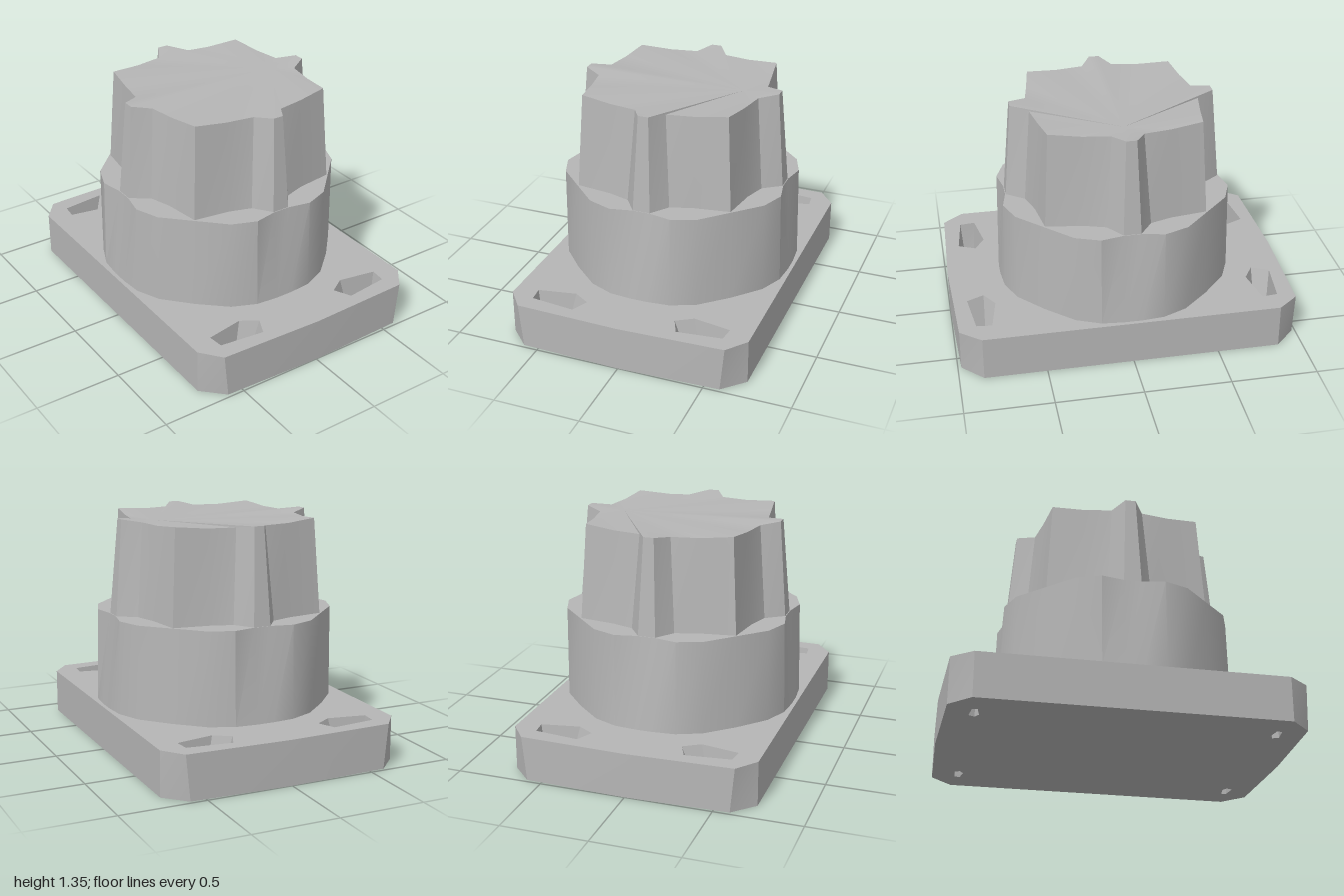
import * as THREE from 'three';
import { toCreasedNormals } from 'three/addons/utils/BufferGeometryUtils.js';

const grey = new THREE.MeshStandardMaterial({ color: 0xb6b6b6 });
grey.name = 'plainGrey';

// Skin consecutive rings of [x, y, z] points, ordered from +x towards +z
function loft(rings, crease = 0.55) {
  const pos = [];
  for (let r = 0; r < rings.length - 1; r++) {
    const lo = rings[r], up = rings[r + 1], n = lo.length;
    for (let i = 0; i < n; i++) {
      const j = (i + 1) % n;
      pos.push(...lo[i], ...up[i], ...lo[j], ...lo[j], ...up[i], ...up[j]);
    }
  }
  const g = new THREE.BufferGeometry();
  g.setAttribute('position', new THREE.Float32BufferAttribute(pos, 3));
  g.computeVertexNormals();
  return toCreasedNormals(g, crease);
}

// Repeat an eighth of an outline ([along axis, offset, y], last point on the diagonal) all round
function eightfold(eighth) {
  const quarter = [
    ...eighth.slice(0, -1).reverse().map(([a, b, y]) => [a, -b, y]),
    ...eighth,
  ];
  const ring = [];
  for (let k = 0; k < 4; k++) {
    const c = Math.round(Math.cos(k * Math.PI / 2)), s = Math.round(Math.sin(k * Math.PI / 2));
    for (const [a, b, y] of quarter) ring.push([a * c - b * s, y, a * s + b * c]);
  }
  return ring;
}

// Flat horizontal face with holes, facing up or down
function flat(ring, holes, up) {
  const s = up ? -1 : 1;
  const pts = (r) => r.map(([x, , z]) => new THREE.Vector2(x, s * z));
  const shape = new THREE.Shape(pts(ring));
  holes.forEach((h) => shape.holes.push(new THREE.Path(pts(h))));
  const g = new THREE.ShapeGeometry(shape);
  g.rotateX(s * Math.PI / 2);
  g.translate(0, ring[0][1], 0);
  return g;
}

export function createModel() {
  const model = new THREE.Group();
  const add = (name, geometry, parent = model) => {
    const m = new THREE.Mesh(geometry, grey);
    m.name = name;
    parent.add(m);
  };

  // Base plate outline with cut corners and slightly bowed ends
  const plateRing = (y, cx) => [
    [0.71, y, 0.86], [cx, y, 0.98], [0, y, 1], [-cx, y, 0.98], [-0.71, y, 0.86],
    [-0.71, y, -0.86], [-cx, y, -0.98], [0, y, -1], [cx, y, -0.98], [0.71, y, -0.86],
  ];
  const low = plateRing(0, 0.59), high = plateRing(0.26, 0.615);

  // Tapered mounting slots, each with a small hole through the floor
  const slotTop = [[0.58, 0.79], [0.57, 0.88], [0.31, 0.91], [0.265, 0.81], [0.36, 0.75]];
  const slotRing = (sx, sz, y, scale, cx) => {
    const ring = slotTop.map(([x, z]) => [
      sx * (cx + (x - 0.43) * scale), y, sz * (0.83 + (z - 0.83) * scale)]);
    return sx * sz < 0 ? ring.reverse() : ring;
  };
  const plate = new THREE.Group();
  plate.name = 'basePlate';
  model.add(plate);
  const topHoles = [], bottomHoles = [];
  for (const sx of [1, -1]) for (const sz of [1, -1]) {
    const rings = [
      slotRing(sx, sz, 0.26, 1, 0.43),
      slotRing(sx, sz, 0.08, 0.72, 0.45),
      slotRing(sx, sz, 0.06, 0.34, 0.5),
      slotRing(sx, sz, 0, 0.34, 0.5),
    ];
    topHoles.push(rings[0]);
    bottomHoles.push(rings[3]);
    add('mountingSlot', loft(rings, 0.3), plate);
  }
  add('plateSides', loft([low, high], 0.3), plate);
  add('plateTop', flat(high, topHoles, true), plate);
  add('plateUnderside', flat(low, bottomHoles, false), plate);

  // Drum, dented at the top where the ribs meet its rim
  const drumLow = eightfold([
    [0.687, 0.05, 0.26], [0.675, 0.18, 0.26], [0.615, 0.32, 0.26], [0.475, 0.475, 0.26]]);
  const drumHigh = eightfold([
    [0.637, 0.05, 0.8], [0.663, 0.18, 0.8], [0.61, 0.32, 0.8], [0.465, 0.465, 0.8]]);
  add('drumSide', loft([drumLow, drumHigh]));
  add('drumLedge', flat(drumHigh, [], true));

  // Tapered knob: four axis ribs and four corners with hollows between
  const knobLow = eightfold([
    [0.633, 0.05, 0.8], [0.53, 0.125, 0.8], [0.49, 0.25, 0.8], [0.46, 0.46, 0.8]]);
  const knobHigh = eightfold([
    [0.587, 0.03, 1.35], [0.485, 0.09, 1.335], [0.458, 0.25, 1.335], [0.43, 0.43, 1.35]]);
  add('knobSide', loft([knobLow, knobHigh]));

  // Shallow dished top, lowest off centre
  const dish = knobHigh.map(() => [0.37, 1.33, 0]);
  add('knobTop', loft([knobHigh, dish]));

  return model;
}
